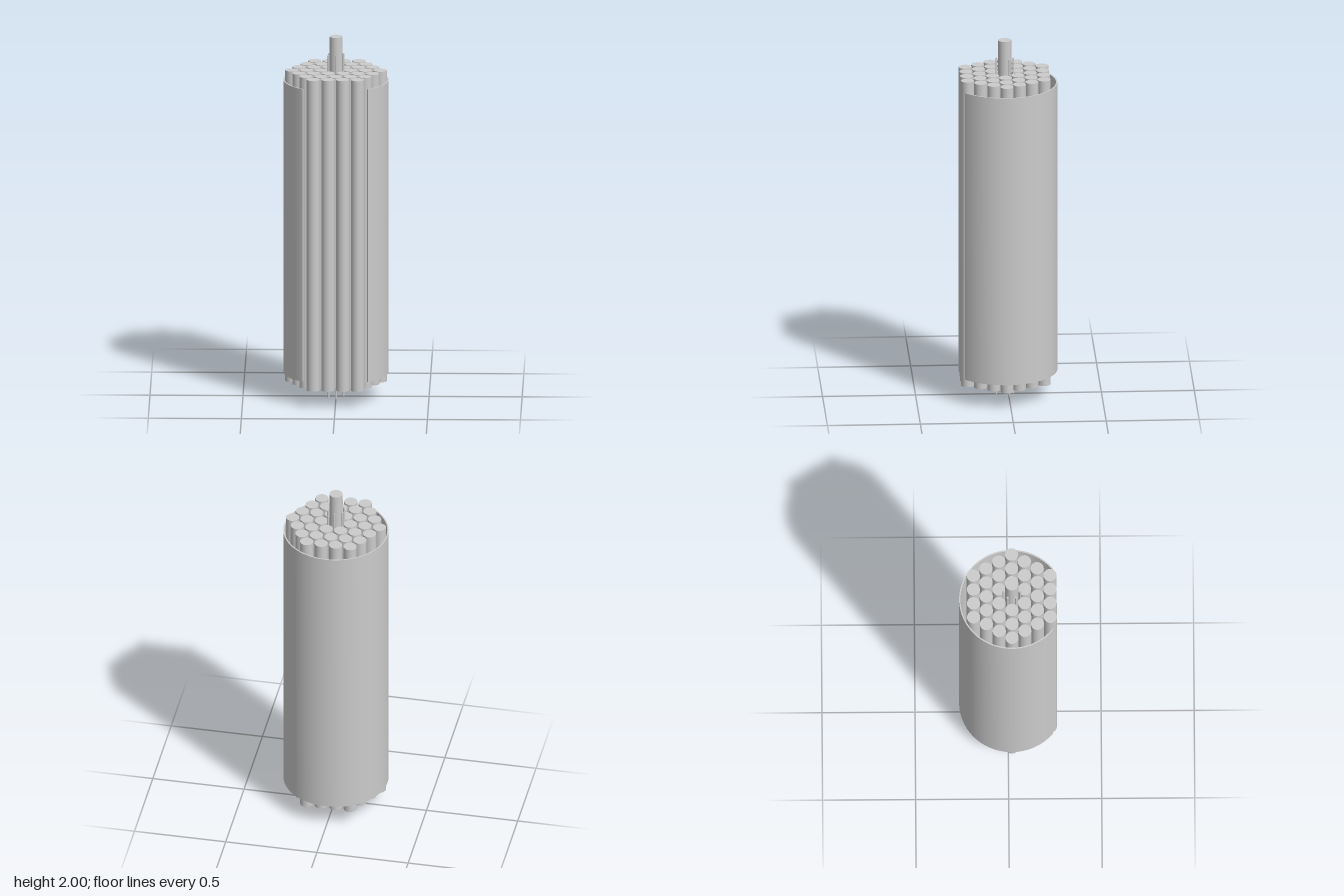
import * as THREE from 'three';
import { toCreasedNormals } from 'three/addons/utils/BufferGeometryUtils.js';

const material = new THREE.MeshStandardMaterial({ color: 0xcccccc });
const PITCH = 0.0793; // distance between neighbouring rods
const ROW = PITCH * Math.sqrt(3) / 2;
const RINGS = 3;

// Upright cylinder from y0 to y1
function rod(name, radius, x, z, y0, y1, sides) {
  const mesh = new THREE.Mesh(new THREE.CylinderGeometry(radius, radius, y1 - y0, sides), material);
  mesh.position.set(x, (y0 + y1) / 2, z);
  mesh.name = name;
  return mesh;
}

// Curved jacket, open at the front
function jacket(outer, inner, halfGap, y0, y1) {
  const a = -Math.PI / 2 + halfGap;
  const b = Math.PI * 1.5 - halfGap;
  const shape = new THREE.Shape();
  shape.absarc(0, 0, outer, a, b, false);
  shape.absarc(0, 0, inner, b, a, true);
  shape.closePath();
  const extruded = new THREE.ExtrudeGeometry(shape, { depth: y1 - y0, bevelEnabled: false, curveSegments: 64 });
  extruded.rotateX(-Math.PI / 2);
  const mesh = new THREE.Mesh(toCreasedNormals(extruded, 0.6), material);
  mesh.position.y = y0;
  mesh.name = 'jacket';
  return mesh;
}

export function createModel() {
  const model = new THREE.Group();
  model.name = 'rodBundle';

  // Hexagonal bundle, with a raised rod in the middle
  const bundle = new THREE.Group();
  bundle.name = 'rods';
  for (let r = -RINGS; r <= RINGS; r++) {
    const count = 2 * RINGS + 1 - Math.abs(r);
    for (let i = 0; i < count; i++) {
      const x = (i - (count - 1) / 2) * PITCH;
      const centre = r === 0 && i === RINGS;
      bundle.add(centre
        ? rod('centreRod', 0.0355, 0, 0, 0.09, 2, 32)
        : rod('rod', 0.0355, x, r * ROW, 0.09, 1.813, 32));
    }
  }
  model.add(bundle);

  // Thin pins in five of the six gaps around the centre rod
  const pins = new THREE.Group();
  pins.name = 'pins';
  for (const k of [0, 2, 3, 4, 5]) {
    const angle = k * Math.PI / 3;
    const d = PITCH / Math.sqrt(3);
    pins.add(rod('pin', 0.005, Math.sin(angle) * d, Math.cos(angle) * d, 0, 1.9, 16));
  }
  model.add(pins);

  model.add(jacket(0.283, 0.2755, THREE.MathUtils.degToRad(38.5), 0.14, 1.762));
  model.position.z = 0.02;

  const root = new THREE.Group();
  root.add(model);
  return root;
}
